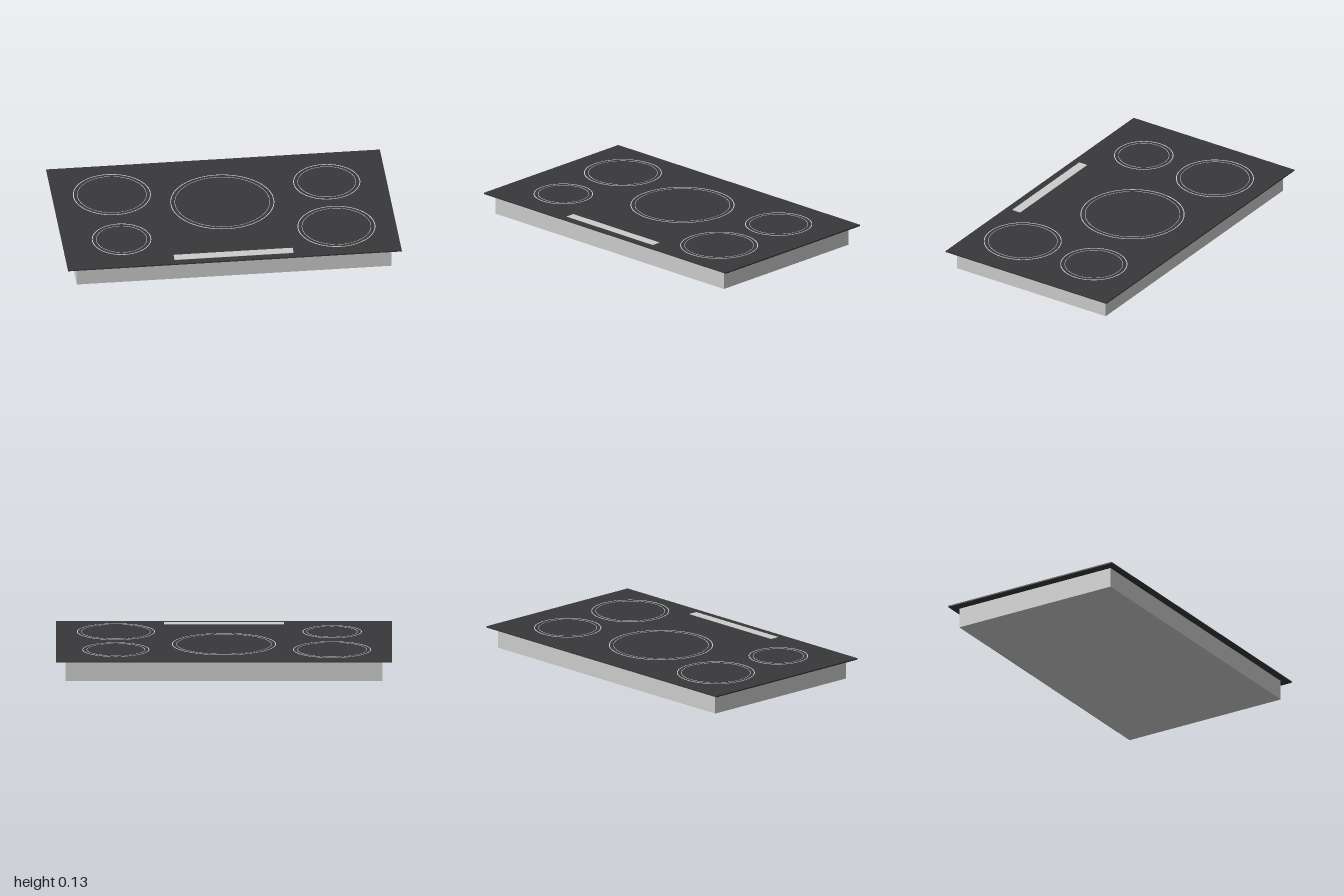
import * as THREE from 'three';

const grey = new THREE.MeshStandardMaterial({ color: 0xcccccc });
const glass = new THREE.MeshStandardMaterial({ color: 0x38383b });

const GLASS_BOTTOM = 0.122;
const GLASS_TOP = 0.13;
const MARK_HEIGHT = 0.0015;

function addBox(parent, name, material, width, depth, y0, y1) {
  const mesh = new THREE.Mesh(new THREE.BoxGeometry(width, y1 - y0, depth), material);
  mesh.name = name;
  mesh.position.y = (y0 + y1) / 2;
  parent.add(mesh);
}

// Thin raised marking lying on the glass
function addMarking(parent, name, shape, x, z) {
  const geometry = new THREE.ExtrudeGeometry(shape, {
    depth: MARK_HEIGHT, bevelEnabled: false, curveSegments: 48,
  });
  geometry.rotateX(-Math.PI / 2);
  const mesh = new THREE.Mesh(geometry, grey);
  mesh.name = name;
  mesh.position.set(x, GLASS_TOP, z);
  parent.add(mesh);
}

function ringShape(radius, width) {
  const shape = new THREE.Shape().absarc(0, 0, radius, 0, Math.PI * 2, false);
  shape.holes.push(new THREE.Path().absarc(0, 0, radius - width, 0, Math.PI * 2, true));
  return shape;
}

function roundedRect(width, height, r) {
  const x = width / 2, y = height / 2;
  const shape = new THREE.Shape();
  shape.absarc(x - r, y - r, r, 0, Math.PI / 2);
  shape.absarc(-x + r, y - r, r, Math.PI / 2, Math.PI);
  shape.absarc(-x + r, -y + r, r, Math.PI, Math.PI * 1.5);
  shape.absarc(x - r, -y + r, r, Math.PI * 1.5, Math.PI * 2);
  shape.closePath();
  return shape;
}

export function createModel() {
  const cooktop = new THREE.Group();
  cooktop.name = 'cooktop';

  // Housing below the counter and the overhanging glass sheet
  addBox(cooktop, 'housing', grey, 1.886, 1.068, 0, GLASS_BOTTOM);
  addBox(cooktop, 'glassTop', glass, 2, 1.154, GLASS_BOTTOM, GLASS_TOP);

  // Cooking zones: x, z, outer radius, inner radius
  const zones = [
    ['backRightZone', -0.644, -0.247, 0.232, 0.207],
    ['frontRightZone', -0.644, 0.264, 0.177, 0.152],
    ['centreZone', 0, -0.09, 0.31, 0.284],
    ['backLeftZone', 0.644, -0.247, 0.2, 0.174],
    ['frontLeftZone', 0.644, 0.264, 0.232, 0.207],
  ];
  for (const [name, x, z, outer, inner] of zones) {
    const zone = new THREE.Group();
    zone.name = name;
    addMarking(zone, 'outerRing', ringShape(outer, 0.005), x, z);
    addMarking(zone, 'innerRing', ringShape(inner, 0.0025), x, z);
    cooktop.add(zone);
  }

  // Touch control strip along the front edge
  addMarking(cooktop, 'controlPanel', roundedRect(0.714, 0.058, 0.006), 0, 0.505);

  return cooktop;
}
